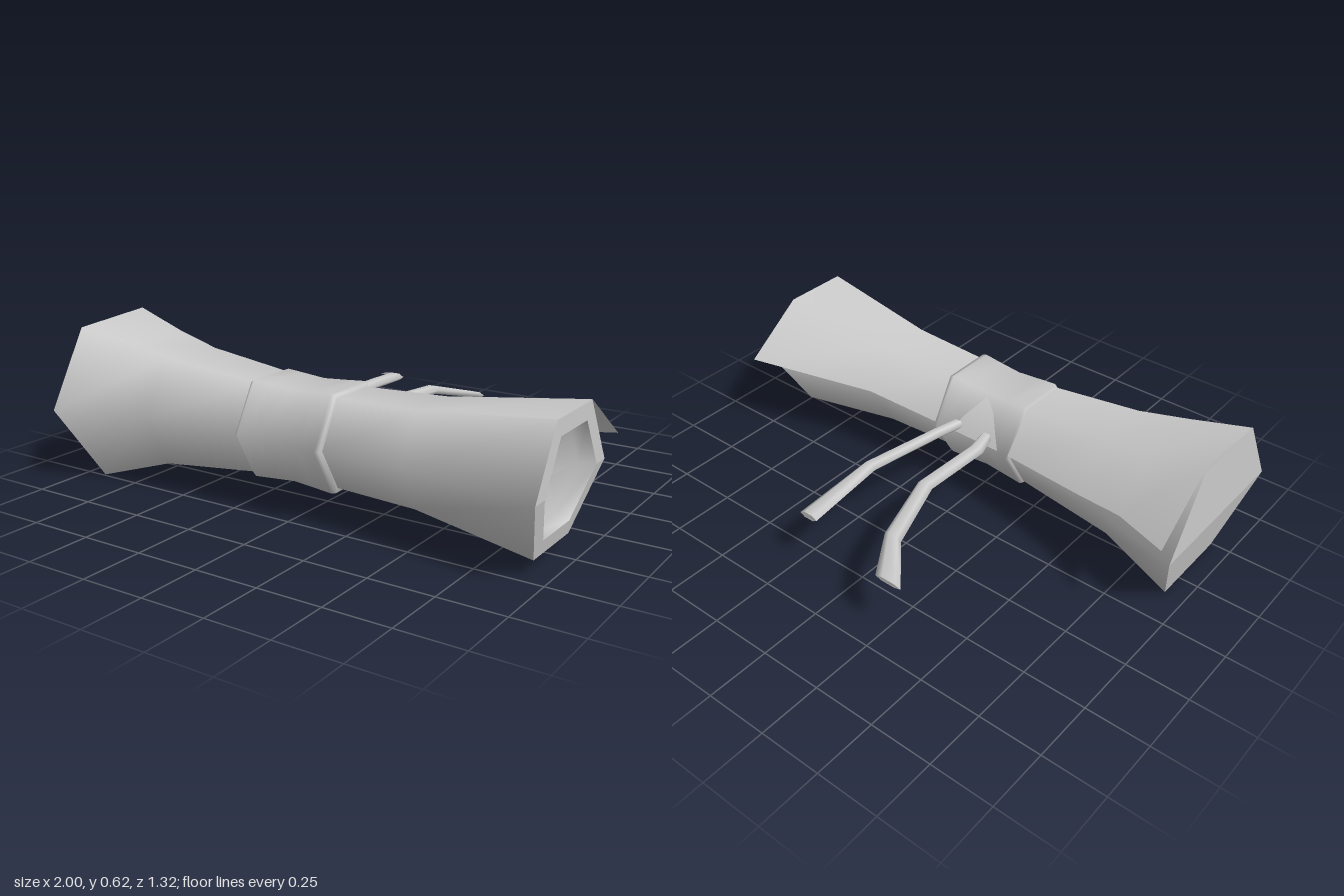
import * as THREE from 'three';

const CY = 0.3, CZ = 0.32; // axis of the roll

// Hexagon around the axis; slant pulls its lower corners along x
const hexRing = (x, r, slant = 0) => Array.from({ length: 6 }, (_, k) => {
  const a = k * Math.PI / 3, dy = r * Math.sin(a);
  return [x + slant * Math.max(0, -dy), CY + dy, CZ + r * Math.cos(a)];
});

// Skin a surface over rows of points, optionally with fan caps
function loft(rows, { closed = true, caps = false, flat = false } = {}) {
  const n = rows[0].length, pos = rows.flat(2), idx = [];
  for (let i = 0; i < rows.length - 1; i++) {
    for (let j = 0; j < (closed ? n : n - 1); j++) {
      const k = (j + 1) % n, a = i * n, b = a + n;
      idx.push(a + j, b + j, b + k, a + j, b + k, a + k);
    }
  }
  if (caps) {
    for (const [row, end] of [[rows[0], false], [rows[rows.length - 1], true]]) {
      const o = pos.length / 3;
      pos.push(...row.flat());
      for (let j = 1; j < n - 1; j++) idx.push(o, end ? o + j + 1 : o + j, end ? o + j : o + j + 1);
    }
  }
  let g = new THREE.BufferGeometry();
  g.setAttribute('position', new THREE.Float32BufferAttribute(pos, 3));
  g.setIndex(idx);
  if (flat) g = g.toNonIndexed();
  g.computeVertexNormals();
  return g;
}

export function createModel() {
  const group = new THREE.Group();
  const grey = new THREE.MeshStandardMaterial({ color: 0xcccccc, side: THREE.DoubleSide });
  const add = (name, geometry) => {
    const mesh = new THREE.Mesh(geometry, grey);
    mesh.name = name;
    group.add(mesh);
  };

  // Rolled sheet, pinched in the middle and flared at both ends
  add('roll', loft([
    hexRing(-1, 0.342, 0.27), hexRing(-0.62, 0.24), hexRing(-0.2, 0.195),
    hexRing(0.17, 0.188), hexRing(0.48, 0.2), hexRing(1, 0.274, -0.25),
  ]));

  // Closed wide end
  add('wideEndCap', loft([hexRing(-1, 0, 0), hexRing(-1, 0.342, 0.27)], { flat: true }));

  // Narrow end with a lip around a shallow recess
  add('narrowEndLip', loft([hexRing(1, 0.274, -0.25), hexRing(1, 0.205, -0.25)], { flat: true }));
  add('narrowEndRecess', loft([
    hexRing(1, 0.205, -0.25), hexRing(0.94, 0.19, -0.2), hexRing(0.92, 0),
  ]));

  // Loose outer edge of the sheet: [x, top front, top back, free edge] as y, z
  const flap = [
    [-1, 0.597, 0.49, 0.62, 0.15, 0.42, -0.10],
    [-0.77, 0.549, 0.46, 0.555, 0.175, 0.38, 0.01],
    [-0.57, 0.509, 0.44, 0.513, 0.2, 0.34, 0.06],
    [-0.2, 0.472, 0.42, 0.473, 0.22, 0.31, 0.118],
    [0.17, 0.466, 0.415, 0.467, 0.222, 0.31, 0.12],
    [0.48, 0.476, 0.42, 0.478, 0.215, 0.335, 0.09],
    [1, 0.54, 0.457, 0.54, 0.183, 0.36, -0.07],
  ];
  add('looseFlap', loft(flap.map(([x, ...p]) =>
    [[x, p[0], p[1]], [x, p[2], p[3]], [x, p[4], p[5]]]), { closed: false }));

  // Band around the middle
  add('band', loft([
    [-0.213, 0.185], [-0.213, 0.203], [-0.2, 0.211], [-0.12, 0.205], [-0.03, 0.198],
    [0.06, 0.205], [0.14, 0.212], [0.157, 0.207], [0.16, 0.18],
  ].map(([x, r]) => hexRing(x, r))));

  // Tie cords: [x, y, z, half width, half height], flattening toward the tip
  const cords = {
    rightCord: [
      [-0.085, 0.335, 0.14, 0.025, 0.016], [-0.112, 0.34, 0.04, 0.032, 0.016],
      [-0.102, 0.34, -0.25, 0.033, 0.016], [-0.172, 0.3, -0.51, 0.038, 0.014],
      [-0.28, 0.258, -0.66, 0.058, 0.008],
    ],
    leftCord: [
      [0.055, 0.335, 0.14, 0.025, 0.016], [0.075, 0.34, 0.03, 0.025, 0.016],
      [0.136, 0.337, -0.29, 0.03, 0.016], [0.18, 0.256, -0.58, 0.041, 0.012],
    ],
  };
  for (const [name, path] of Object.entries(cords)) {
    add(name, loft(path.map(([x, y, z, w, h]) => Array.from({ length: 6 }, (_, k) => {
      const a = k * Math.PI / 3;
      return [x + w * Math.cos(a), y + h * Math.sin(a) / 0.866, z];
    })), { caps: true }));
  }
  return group;
}
